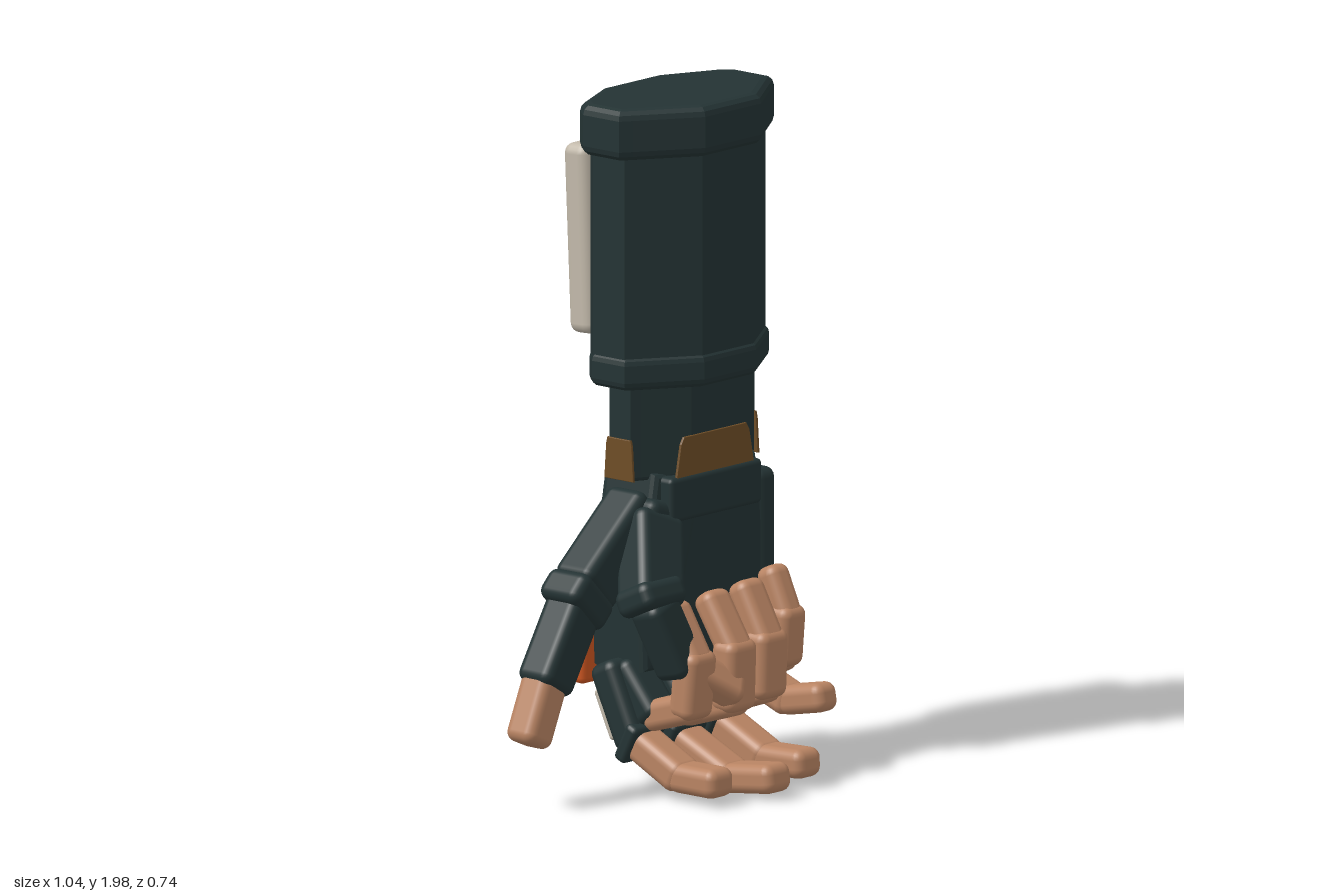
import * as THREE from 'three';
import { RoundedBoxGeometry } from 'three/addons/geometries/RoundedBoxGeometry.js';

const mat = (name, color) => {
  const m = new THREE.MeshStandardMaterial({ color });
  m.name = name;
  return m;
};

export function createModel() {
  const dark = mat('dark teal fabric', 0x243334);
  const skin = mat('skin', 0xb98463);
  const pale = mat('pale armour', 0xc2b9aa);
  const orange = mat('orange armour', 0xcc5520);
  const brown = mat('brown strap', 0x6e4d26);
  const model = new THREE.Group();
  model.name = 'glovedHand';

  const add = (name, geo, material, parent = model) => {
    const m = new THREE.Mesh(geo, material);
    m.name = name;
    parent.add(m);
    return m;
  };
  const box = (name, material, size, pos, r = 0.015, rot = [0, 0, 0], parent = model) => {
    const m = add(name, new RoundedBoxGeometry(...size, 2, r), material, parent);
    m.position.set(...pos);
    m.rotation.set(...rot);
    return m;
  };

  // Extruded polygon with a rounded rim; the bevel stays inside the outline
  const slab = (pts, depth, bevel) => {
    const geo = new THREE.ExtrudeGeometry(new THREE.Shape(pts.map(p => new THREE.Vector2(...p))), {
      depth: depth - 2 * bevel, bevelEnabled: true, bevelThickness: bevel,
      bevelSize: bevel, bevelOffset: -bevel, bevelSegments: 3,
    });
    return geo.translate(0, 0, bevel);
  };

  // Faceted sleeve section; unit half sizes, first half of the outline is mirrored in x
  const half = [[0.36, -1], [0.89, -0.42], [1, -0.3], [1, 0.38], [0.89, 0.6], [0.36, 1]];
  const outline = [...half, ...half.map(([x, y]) => [-x, y]).reverse()];
  const sleeve = (name, y0, y1, hx, hz, cz, bevel) => {
    const geo = slab(outline.map(([x, y]) => [x * hx, y * hz]), y1 - y0, bevel).rotateX(-Math.PI / 2);
    add(name, geo, dark).position.set(0.19, y0, cz);
  };
  sleeve('sleeveCap', 1.85, 2, 0.33, 0.2, -0.09, 0.03);
  sleeve('forearm', 1.2, 1.9, 0.3, 0.178, -0.088, 0.01);
  sleeve('sleeveHem', 1.18, 1.28, 0.308, 0.182, -0.083, 0.025);
  sleeve('wristCuff', 0.91, 1.21, 0.264, 0.117, -0.08, 0.012);

  // Forearm armour
  box('forearmPlate', pale, [0.46, 0.55, 0.09], [0.19, 1.575, -0.285], 0.03, [-0.045, 0, 0]);
  box('forearmBadge', orange, [0.2, 0.38, 0.04], [0.19, 1.58, -0.344], 0.012, [-0.045, 0, 0]);

  // Strap panels around the cuff and their clips
  const panel = w => slab([[-w / 2, 0], [w / 2, 0], [w * 0.44, 0.1], [w * 0.4, 0.12], [-w * 0.4, 0.12], [-w * 0.44, 0.1]], 0.009, 0.002);
  for (const [name, w, x, z, turn] of [
    ['frontStrap', 0.33, 0.19, 0.034, 0], ['backStrap', 0.36, 0.19, -0.194, Math.PI],
    ['leftStrap', 0.11, 0.451, -0.085, Math.PI / 2], ['rightStrap', 0.11, -0.071, -0.085, -Math.PI / 2]]) {
    const m = add(name, panel(w), brown);
    m.position.set(x, 0.912, z);
    m.rotation.y = turn;
  }
  box('strapClip', dark, [0.11, 0.09, 0.06], [0.18, 0.972, -0.225], 0.012);
  box('sideClip', dark, [0.05, 0.09, 0.06], [0.425, 0.972, -0.185], 0.012, [0, 0.5, 0]);

  // Palm, widening to the knuckles
  add('palm', slab([[-0.07, 0.36], [0.46, 0.36], [0.46, 0.6], [0.41, 0.93], [-0.02, 0.93], [-0.08, 0.6]], 0.21, 0.025), dark)
    .position.z = -0.2;
  box('palmBand', dark, [0.39, 0.13, 0.09], [0.19, 0.855, 0.005], 0.015);
  box('outerBolster', dark, [0.085, 0.53, 0.205], [0.447, 0.61, -0.088], 0.03);
  box('thumbPad', dark, [0.2, 0.26, 0.12], [0, 0.72, -0.02], 0.03, [0, 0, -0.25]);
  add('handPlate', slab([[0.01, 0.51], [0.33, 0.51], [0.29, 0.8], [0.05, 0.8]], 0.05, 0.012), pale).position.z = -0.243;

  // Ribbed knuckle guard
  const guard = new THREE.Group();
  guard.name = 'knuckleGuard';
  guard.position.set(0.19, 0.395, -0.218);
  guard.rotation.x = 0.05;
  model.add(guard);
  box('guardBar', orange, [0.6, 0.18, 0.055], [0, 0, 0], 0.018, [0, 0, 0], guard);
  for (let i = -2; i <= 2; i++)
    box('guardRib', orange, [0.065, 0.12, 0.025], [i * 0.105, 0, -0.028], 0.01, [0, 0, 0], guard);

  // Rounded segment from a to b; local z faces the back of the finger
  const V = p => new THREE.Vector3(...p);
  const segment = (name, material, a, b, w, d, extra = 0.04, r = 0.03) => {
    const A = V(a), B = V(b), y = B.clone().sub(A);
    const len = y.length();
    y.normalize();
    const z = new THREE.Vector3(1, 0, 0).cross(y).normalize();
    const m = add(name, new RoundedBoxGeometry(w, len + extra, d, 3, Math.min(r, w * 0.4, d * 0.4)), material);
    m.quaternion.setFromRotationMatrix(new THREE.Matrix4().makeBasis(y.clone().cross(z), y, z));
    m.position.copy(A.add(B).multiplyScalar(0.5));
    return m;
  };

  // Open fingers: [x, width, knuckle, first joint, second joint, tip], joints as [y, z]
  const open = [
    ['index', -0.07, 0.11, [0.36, -0.11], [0.17, -0.02], [0.085, 0.15], [0.085, 0.285]],
    ['middle', 0.105, 0.115, [0.36, -0.12], [0.15, -0.02], [0.06, 0.18], [0.08, 0.345]],
    ['ring', 0.275, 0.11, [0.36, -0.12], [0.17, -0.02], [0.085, 0.16], [0.09, 0.31]],
    ['little', 0.435, 0.095, [0.38, -0.1], [0.27, -0.02], [0.22, 0.11], [0.245, 0.235]],
  ];
  for (const [n, x, w, k, a, b, t] of open) {
    const [K, A, B, T] = [k, a, b, t].map(p => [x, ...p]);
    const base = segment(n + 'FingerBase', dark, K, A, w + 0.015, 0.1, 0.05);
    const len = Math.hypot(k[0] - a[0], k[1] - a[1]);
    box(n + 'FingerPlate', pale, [w * 0.75, len * 0.72, 0.03], [0, 0.01, 0.055], 0.01, [0, 0, 0], base);
    const mid = segment(n + 'FingerMiddle', skin, A, B, w, 0.095);
    segment(n + 'FingerTip', skin, B, T, w * 0.96, 0.085, 0.045);
    const ringLen = Math.hypot(a[0] - b[0], a[1] - b[1]);
    box(n + 'FingerCuff', dark, [w + 0.03, 0.045, 0.12], [0, -ringLen / 2 + 0.01, 0], 0.015, [0, 0, 0], mid);
  }

  // Curled fingers folding up in front of the palm
  const curled = [
    ['index', -0.04, 0.105, [0.36, -0.08], [0.24, 0.02], [0.28, 0.155], [0.42, 0.17], [0.55, 0.09]],
    ['middle', 0.112, 0.11, [0.36, -0.08], [0.23, 0.02], [0.28, 0.18], [0.43, 0.185], [0.56, 0.1]],
    ['ring', 0.268, 0.11, [0.36, -0.08], [0.24, 0.02], [0.29, 0.16], [0.43, 0.165], [0.565, 0.09]],
    ['little', 0.415, 0.09, [0.38, -0.06], [0.31, 0.0], [0.35, 0.1], [0.47, 0.11], [0.58, 0.06]],
  ];
  for (const [n, x, w, k, a, b, c, t] of curled) {
    const [K, A, B, C, T] = [k, a, b, c, t].map(p => [x, ...p]);
    segment(n + 'CurledBase', dark, K, A, w + 0.015, 0.1);
    segment(n + 'CurledRoot', skin, A, B, w, 0.09);
    segment(n + 'CurledMiddle', skin, B, C, w + 0.01, 0.09, 0.06);
    segment(n + 'CurledTip', skin, C, T, w * 0.92, 0.08, 0.05);
  }

  // Outstretched thumb
  segment('thumbBase', dark, [-0.02, 0.82, -0.07], [-0.24, 0.63, -0.07], 0.17, 0.14);
  segment('thumbCuff', dark, [-0.24, 0.635, -0.07], [-0.31, 0.565, -0.07], 0.18, 0.15, 0);
  segment('thumbMiddle', dark, [-0.28, 0.59, -0.07], [-0.405, 0.38, -0.073], 0.14, 0.125);
  segment('thumbTip', skin, [-0.4, 0.4, -0.073], [-0.47, 0.235, -0.075], 0.115, 0.105, 0.055);

  // Folded thumb crossing the palm
  segment('foldedThumbBase', dark, [-0.03, 0.79, -0.01], [-0.13, 0.6, 0.085], 0.17, 0.13);
  segment('foldedThumbCuff', dark, [-0.135, 0.645, 0.07], [-0.135, 0.57, 0.105], 0.175, 0.14, 0);
  segment('foldedThumbMiddle', dark, [-0.135, 0.58, 0.1], [-0.07, 0.4, 0.14], 0.125, 0.11);
  segment('foldedThumbTip', skin, [-0.06, 0.41, 0.14], [0.09, 0.315, 0.2], 0.1, 0.09);

  return model;
}
